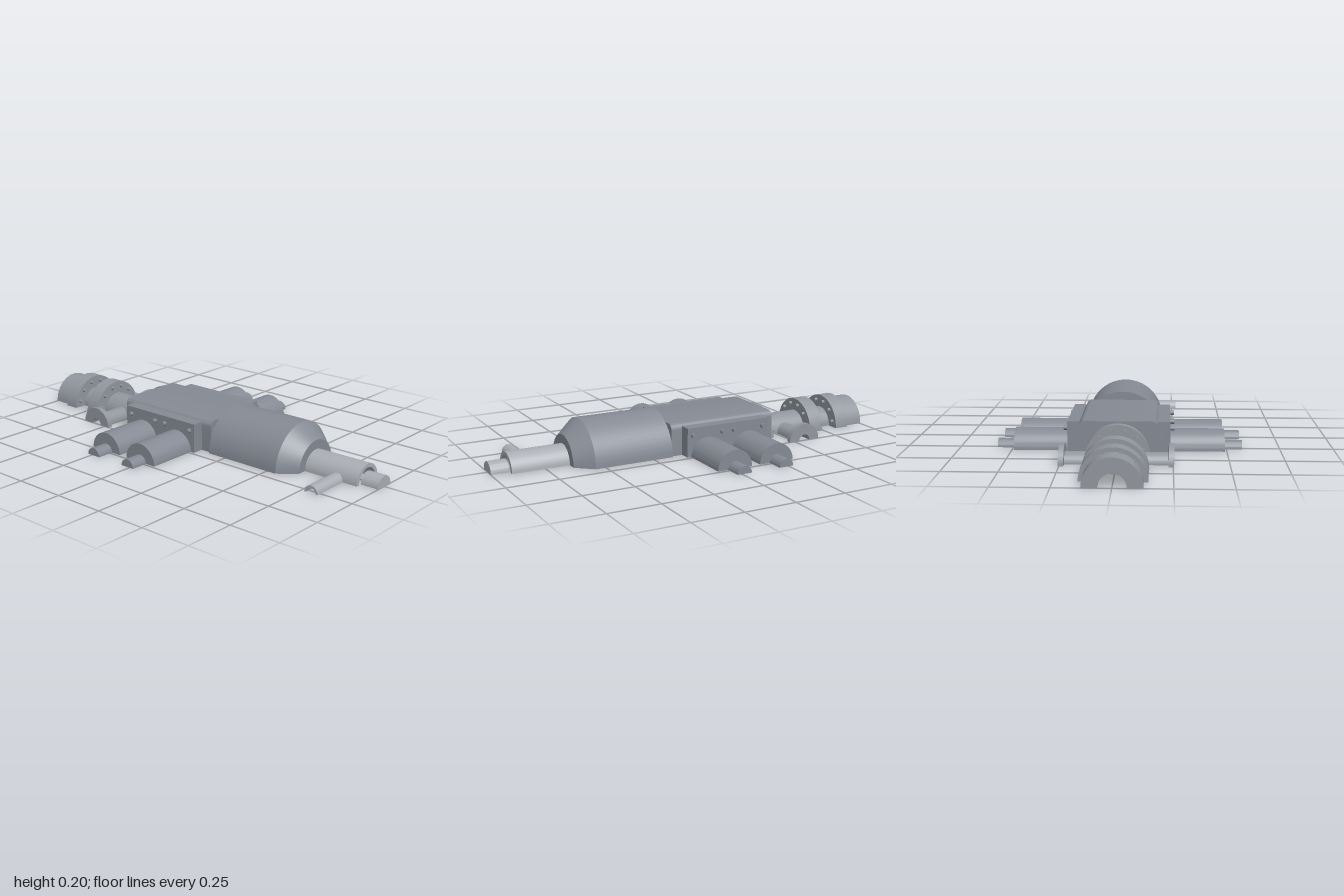
import * as THREE from 'three';
import { mergeGeometries, toCreasedNormals } from 'three/addons/utils/BufferGeometryUtils.js';

const paint = (color) => new THREE.MeshStandardMaterial({ color, side: THREE.DoubleSide });
const bodySteel = paint(0x858a94);
const pipeSteel = paint(0x92969e);
const brightSteel = paint(0xaaaeb4);
const rubber = paint(0x55575c);
const sealYellow = paint(0xb89a3a);

// Half of a turned part, cut flat at y = 0. Profile points are [radius, distance along axis],
// running anticlockwise; a profile that starts off the axis is closed into a ring.
function halfTurned(profile, axis) {
  const points = profile.map(([r, a]) => new THREE.Vector2(r, a));
  if (profile[0][0] > 0) points.push(points[0].clone());
  const skin = toCreasedNormals(new THREE.LatheGeometry(points, 28, 0, Math.PI), 0.5);
  const cuts = [1, -1].map((s) => {
    const shape = new THREE.Shape(profile.map(([r, a]) => new THREE.Vector2(s * r, a)));
    return new THREE.ShapeGeometry(shape).rotateY(-Math.PI / 2).toNonIndexed();
  });
  const geometry = mergeGeometries([skin, ...cuts]);
  const up = new THREE.Vector3(0, 1, 0);
  const along = axis === 'z' ? new THREE.Vector3(0, 0, 1) : new THREE.Vector3(1, 0, 0);
  const side = new THREE.Vector3().crossVectors(up, along);
  return geometry.applyMatrix4(new THREE.Matrix4().makeBasis(up, along, side));
}

const solid = (r, a, b) => [[0, a], [r, a], [r, b], [0, b]];
const ring = (inner, outer, a, b) => [[inner, a], [outer, a], [outer, b], [inner, b]];

export function createModel() {
  const model = new THREE.Group();
  const add = (name, geometry, material, x = 0, y = 0, z = 0, parent = model) => {
    const mesh = new THREE.Mesh(geometry, material);
    mesh.name = name;
    mesh.position.set(x, y, z);
    parent.add(mesh);
    return mesh;
  };

  // Central block with rounded upper edges, in lengths with and without the bore
  const block = (boreRadius, z0, z1) => {
    const w = 0.183, h = 0.155, c = 0.03;
    const s = new THREE.Shape();
    s.moveTo(w, 0);
    s.lineTo(w, h - c);
    s.absarc(w - c, h - c, c, 0, Math.PI / 2);
    s.absarc(-w + c, h - c, c, Math.PI / 2, Math.PI);
    s.lineTo(-w, 0);
    if (boreRadius) s.absarc(0, 0, boreRadius, Math.PI, 0, true);
    s.closePath();
    const g = new THREE.ExtrudeGeometry(s, { depth: z1 - z0, bevelEnabled: false, curveSegments: 12 });
    return toCreasedNormals(g.translate(0, 0, z0), 0.5);
  };
  add('blockRear', block(0.06, -0.405, -0.13), bodySteel);
  add('blockMiddle', block(0, -0.13, 0.07), bodySteel);
  add('blockFront', block(0.055, 0.07, 0.155), bodySteel);

  // Domed front housing, hollow, with its tapered nose
  add('housing', halfTurned([
    [0.06, 0.155], [0.196, 0.155], [0.196, 0.55], [0.127, 0.632],
    [0.066, 0.632], [0.066, 0.59], [0.12, 0.58], [0.155, 0.54], [0.155, 0.185], [0.06, 0.185],
  ], 'z'), bodySteel);
  add('innerSleeve', halfTurned(ring(0.055, 0.08, 0.155, 0.4), 'z'), pipeSteel);
  add('sealingCone', halfTurned([[0, 0.4], [0.14, 0.4], [0.06, 0.6], [0, 0.6]], 'z'), rubber);

  // Front tube, end rod and side outlet
  add('frontTube', halfTurned(ring(0.065, 0.083, 0.632, 0.912), 'z'), brightSteel);
  add('endRod', halfTurned(solid(0.05, 0.912, 1), 'z'), brightSteel);
  add('sideOutlet', halfTurned(ring(0.024, 0.035, -0.273, -0.075), 'x'), brightSteel, 0, 0, 0.803);

  // Rear pipe: flanges and end collar share one bore
  add('rearPipe', halfTurned(ring(0.06, 0.085, -0.9, -0.405), 'z'), pipeSteel);
  add('endCollar', halfTurned(ring(0.06, 0.127, -1, -0.9), 'z'), pipeSteel);
  const bolt = new THREE.CylinderGeometry(0.009, 0.009, 1, 10);
  const flanges = [[-0.443, -0.405, 0], [-0.74, -0.666, 1], [-0.9, -0.828, 1]];
  for (const [z0, z1, bothEnds] of flanges) {
    const flange = new THREE.Group();
    flange.name = 'rearFlange';
    model.add(flange);
    add('flangeDisc', halfTurned(ring(0.085, 0.146, z0, z1), 'z'), pipeSteel, 0, 0, 0, flange);
    const start = z0 - 0.016, end = bothEnds ? z1 + 0.016 : z1;
    for (let i = 0; i < 6; i++) {
      const angle = ((15 + 30 * i) * Math.PI) / 180;
      const b = add('flangeBolt', bolt, pipeSteel,
        0.121 * Math.cos(angle), 0.121 * Math.sin(angle), (start + end) / 2, flange);
      b.rotation.x = Math.PI / 2;
      b.scale.y = end - start;
    }
  }

  // Matching parts on the left and right
  for (const s of [1, -1]) {
    const span = (a, b) => (s > 0 ? [a, b] : [-b, -a]);
    const label = s > 0 ? 'left' : 'right';

    // Side line with flange
    add(label + 'SideLine', halfTurned(ring(0.03, 0.048, ...span(0.07, 0.23)), 'x'), pipeSteel, 0, 0, -0.555);
    add(label + 'SideLineFlange', halfTurned(ring(0.03, 0.085, ...span(0.23, 0.254)), 'x'), pipeSteel, 0, 0, -0.555);

    // Bolted cover plate
    add(label + 'CoverPlate', new THREE.BoxGeometry(0.057, 0.142, 0.446), bodySteel, s * 0.2095, 0.071, -0.125);

    // Two actuator cylinders with rods, and thin seals in the cut face
    for (const z of [-0.236, -0.012]) {
      add(label + 'Actuator', halfTurned(solid(0.09, ...span(0.238, 0.49)), 'x'), bodySteel, 0, 0, z);
      add(label + 'ActuatorRod', halfTurned(solid(0.037, ...span(0.49, 0.574)), 'x'), bodySteel, 0, 0, z);
      for (const dz of [-0.077, 0.083]) {
        const b = add(label + 'CoverBolt', bolt, bodySteel, s * 0.247, 0.106, z + dz);
        b.rotation.z = Math.PI / 2;
        b.scale.set(1.2, 0.02, 1.2);
      }
      add(label + 'Seal', new THREE.BoxGeometry(0.05, 0.004, 0.004), sealYellow, s * 0.09, 0.001, z + 0.04);
    }
  }
  return model;
}
